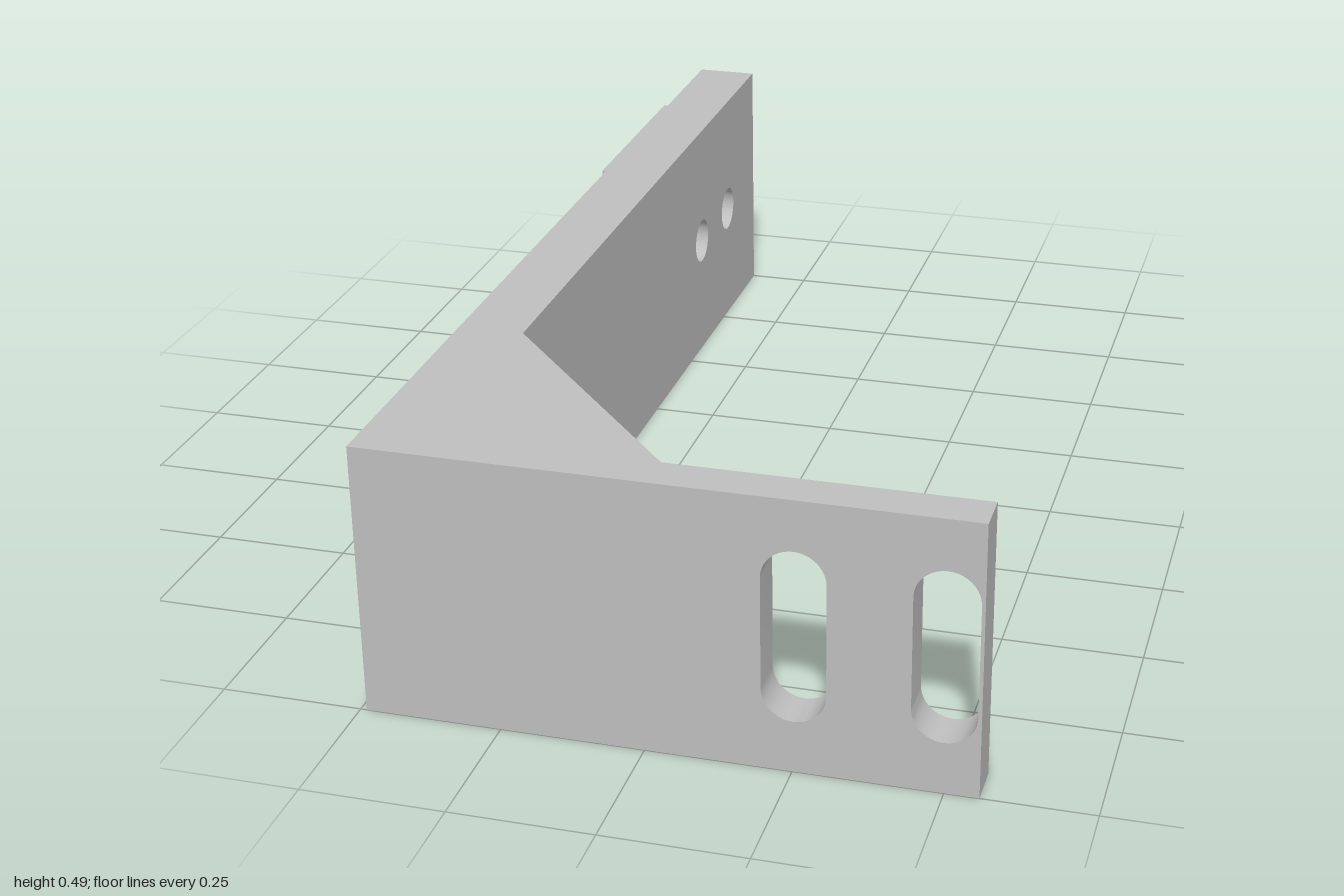
import * as THREE from 'three';
import { mergeGeometries, toCreasedNormals } from 'three/addons/utils/BufferGeometryUtils.js';

// Main dimensions
const H = 0.493, LEFT = -0.489, INNER = -0.37, RIGHT = 0.558;
const FRONT = 1, PLATE = 0.926, BACK = -1;
const GX = 0.016, GZ = 0.503, GLOW = 0.046, GHIGH = 0.447;
const MID = H / 2, HOLE_R = 0.046, HOLES = [-0.788, -0.589];
const CH_X0 = -0.45, CH_X1 = -0.41, CH_H = 0.035;

// Plane mappings: 2D point plus offset to 3D
const onX = (z, y, x) => [x, y, z];
const onY = (x, z, y) => [x, y, z];
const onZ = (x, y, z) => [x, y, z];

const arc = (cx, cy, r, a0, a1, n = 32) => Array.from({ length: n + 1 }, (_, i) => {
  const a = a0 + (a1 - a0) * i / n;
  return [cx + r * Math.cos(a), cy + r * Math.sin(a)];
});
const rect = (u0, v0, u1, v1) => [[u0, v0], [u1, v0], [u1, v1], [u0, v1]];
const toVec = pts => pts.map(p => new THREE.Vector2(...p));

function positionsToGeometry(list) {
  const g = new THREE.BufferGeometry();
  g.setAttribute('position', new THREE.Float32BufferAttribute(list, 3));
  return g;
}

// Flat face with holes, lying in one of the mapped planes
function panel(outline, holes, map, t, flip = false) {
  const shape = new THREE.Shape(toVec(outline));
  shape.holes = holes.map(h => new THREE.Path(toVec(h)));
  const flat = new THREE.ShapeGeometry(shape);
  const p = flat.attributes.position, idx = flat.index.array, out = [];
  for (let i = 0; i < idx.length; i += 3) {
    const tri = flip ? [idx[i], idx[i + 2], idx[i + 1]] : [idx[i], idx[i + 1], idx[i + 2]];
    for (const k of tri) out.push(...map(p.getX(k), p.getY(k), t));
  }
  return positionsToGeometry(out);
}

// Strip of wall following a path from offset t0 to t1
function wall(path, map, t0, t1) {
  const out = [];
  for (let i = 0; i < path.length - 1; i++) {
    const [a, b] = [path[i], path[i + 1]];
    const a0 = map(...a, t0), b0 = map(...b, t0), a1 = map(...a, t1), b1 = map(...b, t1);
    out.push(...a0, ...b0, ...b1, ...a0, ...b1, ...a1);
  }
  return positionsToGeometry(out);
}

function bracketGeometry() {
  const parts = [];
  const boltHoles = HOLES.map(z => arc(z, MID, HOLE_R, 0, Math.PI * 2));
  const slots = [0.252, 0.498].map(x => {
    const r = 0.054, s = [...arc(x, 0.403 - r, r, 0, Math.PI, 20), ...arc(x, 0.094 + r, r, Math.PI, 2 * Math.PI, 20)];
    return [...s, s[0]];
  });

  // Top and bottom of the angle with its corner gussets
  const plan = [[LEFT, BACK], [INNER, BACK], [INNER, GZ], [GX, PLATE], [RIGHT, PLATE], [RIGHT, FRONT], [LEFT, FRONT]];
  parts.push(panel(plan, [], onY, 0), panel(plan, [], onY, H, true));

  // Long arm: outer face and inner face, which narrows between the gussets
  parts.push(panel(rect(BACK, 0, FRONT, H), boltHoles, onX, LEFT));
  parts.push(panel([[BACK, 0], [GZ, 0], [GZ, GLOW], [PLATE, GLOW], [PLATE, GHIGH], [GZ, GHIGH], [GZ, H], [BACK, H]],
    boltHoles, onX, INNER, true));

  // Slotted plate: front, back and end
  parts.push(panel(rect(LEFT, 0, RIGHT, H), slots, onZ, FRONT));
  parts.push(panel([[RIGHT, 0], [RIGHT, H], [GX, H], [GX, GHIGH], [INNER, GHIGH], [INNER, GLOW], [GX, GLOW], [GX, 0]],
    slots, onZ, PLATE, true));
  parts.push(panel(rect(PLATE, 0, FRONT, H), [], onX, RIGHT, true));
  for (const s of slots) parts.push(wall(s, onZ, FRONT, PLATE));

  // Gusset inner faces and sloping edges
  const corner = [[INNER, GZ], [INNER, PLATE], [GX, PLATE]];
  parts.push(panel(corner, [], onY, GLOW, true), panel(corner, [], onY, GHIGH));
  for (const [y0, y1] of [[0, GLOW], [GHIGH, H]]) parts.push(wall([[GX, PLATE], [INNER, GZ]], onY, y0, y1));

  // Arm end with the channel opening
  parts.push(panel(rect(LEFT, 0, INNER, H), [rect(CH_X0, MID - CH_H, CH_X1, MID + CH_H)], onZ, BACK, true));

  // Bolt holes on either side of the channel
  for (const h of boltHoles) parts.push(wall(h, onX, LEFT, CH_X0), wall(h, onX, CH_X1, INNER));

  // Channel running from the arm end through both bolt holes
  const th = Math.asin(CH_H / HOLE_R), PI = Math.PI, [c1, c2] = HOLES;
  const cut = (c, a0, a1) => arc(c, MID, HOLE_R, a0, a1, 16);
  const low = [BACK, MID - CH_H], high = [BACK, MID + CH_H];
  parts.push(wall([low, ...cut(c1, PI + th, 2 * PI - th), ...cut(c2, th - PI, PI - th), ...cut(c1, th, PI - th), high],
    onX, CH_X0, CH_X1));
  const sides = [
    [low, ...cut(c1, PI + th, PI - th), high],
    [...cut(c1, th, -th), ...cut(c2, PI + th, PI - th)],
  ];
  for (const s of sides) parts.push(panel(s, [], onX, CH_X0, true), panel(s, [], onX, CH_X1));

  return toCreasedNormals(mergeGeometries(parts), 0.5);
}

// Raised pad around the two bolt holes
function padGeometry() {
  const x = -0.561, outline = rect(-0.939, 0.076, -0.5, 0.421);
  const holes = HOLES.map(z => arc(z, MID, HOLE_R, 0, Math.PI * 2));
  const parts = [panel(outline, holes, onX, x)];
  for (const h of holes) parts.push(wall(h, onX, x, LEFT));
  parts.push(wall([...outline, outline[0]], onX, LEFT, x));
  return toCreasedNormals(mergeGeometries(parts), 0.5);
}

export function createModel() {
  const grey = new THREE.MeshStandardMaterial({ color: 0xbfbfbf });
  grey.name = 'grey';
  const model = new THREE.Group();
  model.name = 'angleBracket';
  for (const [name, geometry] of [['bracket', bracketGeometry()], ['mountingPad', padGeometry()]]) {
    const mesh = new THREE.Mesh(geometry, grey);
    mesh.name = name;
    model.add(mesh);
  }
  return model;
}
